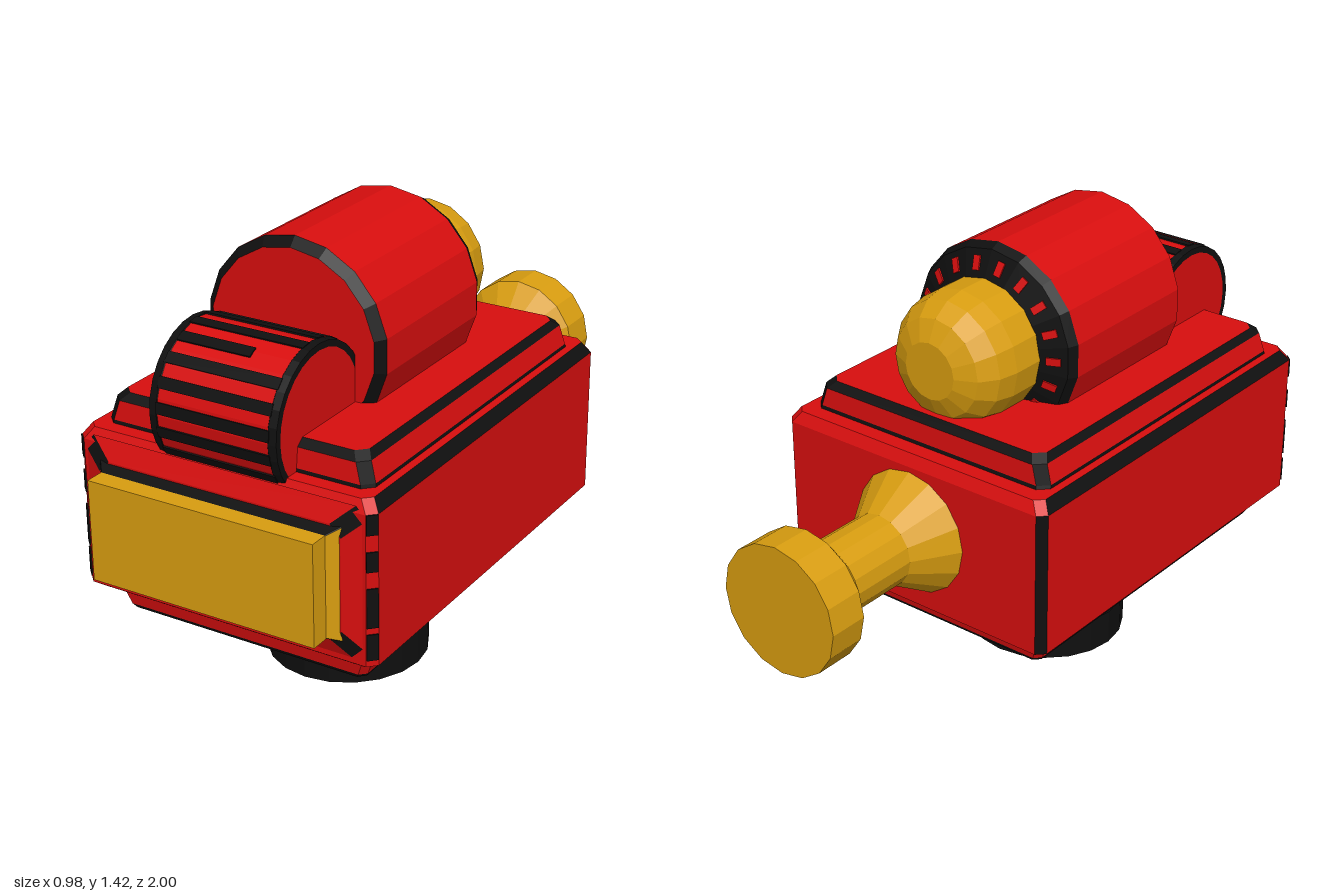
import * as THREE from 'three';

const material = (name, color, extra = {}) => {
  const m = new THREE.MeshStandardMaterial({ color, flatShading: true, ...extra });
  m.name = name;
  return m;
};

export function createModel() {
  const red = material('red', 0xd80e0e);
  const gold = material('gold', 0xd89d10);
  const black = material('black', 0x0f0f0f);
  const palette = [red, black, gold];
  const R = 0, B = 1, G = 2;
  const root = new THREE.Group();

  const add = (name, geometry, mat, parent = root) => {
    const mesh = new THREE.Mesh(geometry, mat);
    mesh.name = name;
    parent.add(mesh);
    return mesh;
  };

  // Stack of corner-cut rectangles [y, halfX, zMin, zMax, cut].
  // colour(band, side): sides 0 +x, 2 -z, 4 -x, 6 +z, odd ones are corners.
  const loft = (levels, colour, capColour) => {
    const rings = levels.map(([y, x, z0, z1, c]) => [
      [x, z1 - c], [x, z0 + c], [x - c, z0], [c - x, z0],
      [-x, z0 + c], [-x, z1 - c], [c - x, z1], [x - c, z1],
    ].map(([px, pz]) => [px, y, pz]));
    const pos = [];
    const geo = new THREE.BufferGeometry();
    const face = (pts, mat) => {
      const start = pos.length / 3;
      for (let i = 1; i < pts.length - 1; i++) pos.push(...pts[0], ...pts[i], ...pts[i + 1]);
      geo.addGroup(start, pos.length / 3 - start, mat);
    };
    for (let k = 0; k < rings.length - 1; k++) {
      for (let i = 0; i < 8; i++) {
        const j = (i + 1) % 8;
        face([rings[k][i], rings[k][j], rings[k + 1][j], rings[k + 1][i]], colour(k, i));
      }
    }
    face([...rings[0]].reverse(), capColour);
    face(rings[rings.length - 1], capColour);
    geo.setAttribute('position', new THREE.Float32BufferAttribute(pos, 3));
    geo.computeVertexNormals();
    return geo;
  };

  // Turned profile of [radius, height] points, listed upwards
  const turned = (points, segments) =>
    new THREE.LatheGeometry(points.map(([r, h]) => new THREE.Vector2(r, h)), segments);
  const alongZ = (points, segments, y) =>
    turned(points, segments).rotateX(Math.PI / 2).translate(0, y, 0);

  // Main housing with dark chamfers
  add('housing', loft([
    [0.375, 0.465, -0.42, 0.87, 0.025],
    [0.39, 0.49, -0.44, 0.89, 0.025],
    [0.85, 0.49, -0.44, 0.89, 0.025],
    [0.885, 0.465, -0.42, 0.87, 0.025],
  ], (k, i) => {
    if (k === 0) return B;
    if (k === 2) return i % 4 === 0 ? B : R;
    return i === 1 || i === 3 ? B : R;
  }, R), palette);

  // Top and bottom covers
  const corners = (i) => i % 2 === 1;
  add('topCover', loft([
    [0.88, 0.44, -0.37, 0.825, 0.03],
    [0.895, 0.438, -0.365, 0.822, 0.03],
    [0.955, 0.42, -0.36, 0.815, 0.03],
    [0.975, 0.4, -0.335, 0.79, 0.03],
  ], (k, i) => (k !== 1 || corners(i) ? B : R), R), palette);
  add('bottomCover', loft([
    [0.285, 0.4, -0.34, 0.8, 0.02],
    [0.3, 0.41, -0.35, 0.81, 0.02],
    [0.38, 0.44, -0.365, 0.825, 0.02],
  ], (k) => (k === 0 ? B : R), R), palette);

  // Bevelled front frame with dark mitres, then the gold window block
  add('frontFrame', loft([
    [0.885, 0.468, -0.868, -0.395, 0.035],
    [0.91, 0.4, -0.808, -0.455, 0.035],
  ], (k, i) => (corners(i) ? B : R), R).rotateX(Math.PI / 2), palette);
  add('windowSkirt', loft([
    [0.905, 0.4, -0.805, -0.457, 0.002],
    [0.94, 0.37, -0.788, -0.475, 0.002],
  ], (k, i) => (i === 0 ? G : B), B).rotateX(Math.PI / 2), palette);
  const windowBlock = add('windowBlock', new THREE.BoxGeometry(0.74, 0.313, 0.07), gold);
  windowBlock.position.set(0, 0.6315, 0.965);

  // Broken dark wear marks on the front corners
  for (const side of [-1, 1]) {
    for (const [y, h] of [[0.45, 0.08], [0.57, 0.12], [0.71, 0.06], [0.82, 0.06]]) {
      const mark = add('cornerMark', new THREE.BoxGeometry(0.033, h, 0.006), black);
      mark.position.set(side * 0.4785, y, 0.8785);
      mark.rotation.y = side * Math.PI / 4;
    }
  }

  // Pedestal
  add('pedestal', turned([
    [0, 0], [0.253, 0], [0.253, 0.115], [0.09, 0.148], [0.09, 0.3],
  ], 20).translate(0, 0, 0.235), black);

  // Large drum on top
  const drum = new THREE.Group();
  drum.name = 'drum';
  root.add(drum);
  const drumY = 1.12;
  add('drumShell', alongZ([[0.3, -0.02], [0.3, 0.495]], 18, drumY), red, drum);
  add('drumFrontRim', alongZ([[0.3, 0.495], [0.272, 0.52]], 18, drumY), black, drum);
  add('drumFrontFace', alongZ([[0.272, 0.52], [0, 0.52]], 18, drumY), red, drum);
  add('drumBackRim', alongZ([[0, -0.085], [0.205, -0.085], [0.285, -0.05], [0.3, -0.02]], 18, drumY), black, drum);
  for (let i = 0; i < 18; i++) {
    const spoke = new THREE.Group();
    spoke.name = 'drumTick';
    spoke.position.y = drumY;
    spoke.rotation.z = ((i + 0.5) / 18) * Math.PI * 2;
    const tick = add('tick', new THREE.BoxGeometry(0.024, 0.045, 0.008), red, spoke);
    tick.position.set(0, 0.242, -0.0685);
    tick.rotation.x = 0.41;
    drum.add(spoke);
  }

  // Gold dome behind the drum
  add('dome', alongZ([
    [0, -0.34], [0.09, -0.34], [0.155, -0.31], [0.193, -0.255], [0.205, -0.19], [0.205, -0.07],
  ], 16, drumY), gold);

  // Front roller with dark rims and stripes
  const roller = new THREE.Group();
  roller.name = 'roller';
  roller.position.set(0, 0.997, 0.7);
  root.add(roller);
  const alongX = (points) => turned(points, 28).rotateZ(-Math.PI / 2);
  add('rollerBarrel', alongX([[0.218, -0.182], [0.218, 0.182]]), red, roller);
  for (const side of [0, Math.PI]) {
    add('rollerFace', alongX([[0.197, 0.207], [0, 0.207]]), red, roller).rotation.y = side;
    add('rollerRim', alongX([[0.218, 0.18], [0.22, 0.182], [0.217, 0.207], [0.197, 0.207]]), black, roller).rotation.y = side;
  }
  for (let i = 0; i < 9; i++) {
    const angle = THREE.MathUtils.degToRad(-32 + i * 19);
    const partial = i === 5;
    const stripe = add('rollerStripe', new THREE.BoxGeometry(partial ? 0.24 : 0.37, 0.034, 0.008), black, roller);
    stripe.position.set(partial ? -0.06 : 0, Math.sin(angle) * 0.217, Math.cos(angle) * 0.217);
    stripe.rotation.x = -angle;
  }

  // Rear plunger handle
  add('plunger', alongZ([
    [0, -1], [0.205, -1], [0.205, -0.875], [0.115, -0.8], [0.115, -0.575], [0.205, -0.43],
  ], 16, 0.635), gold);

  return root;
}
